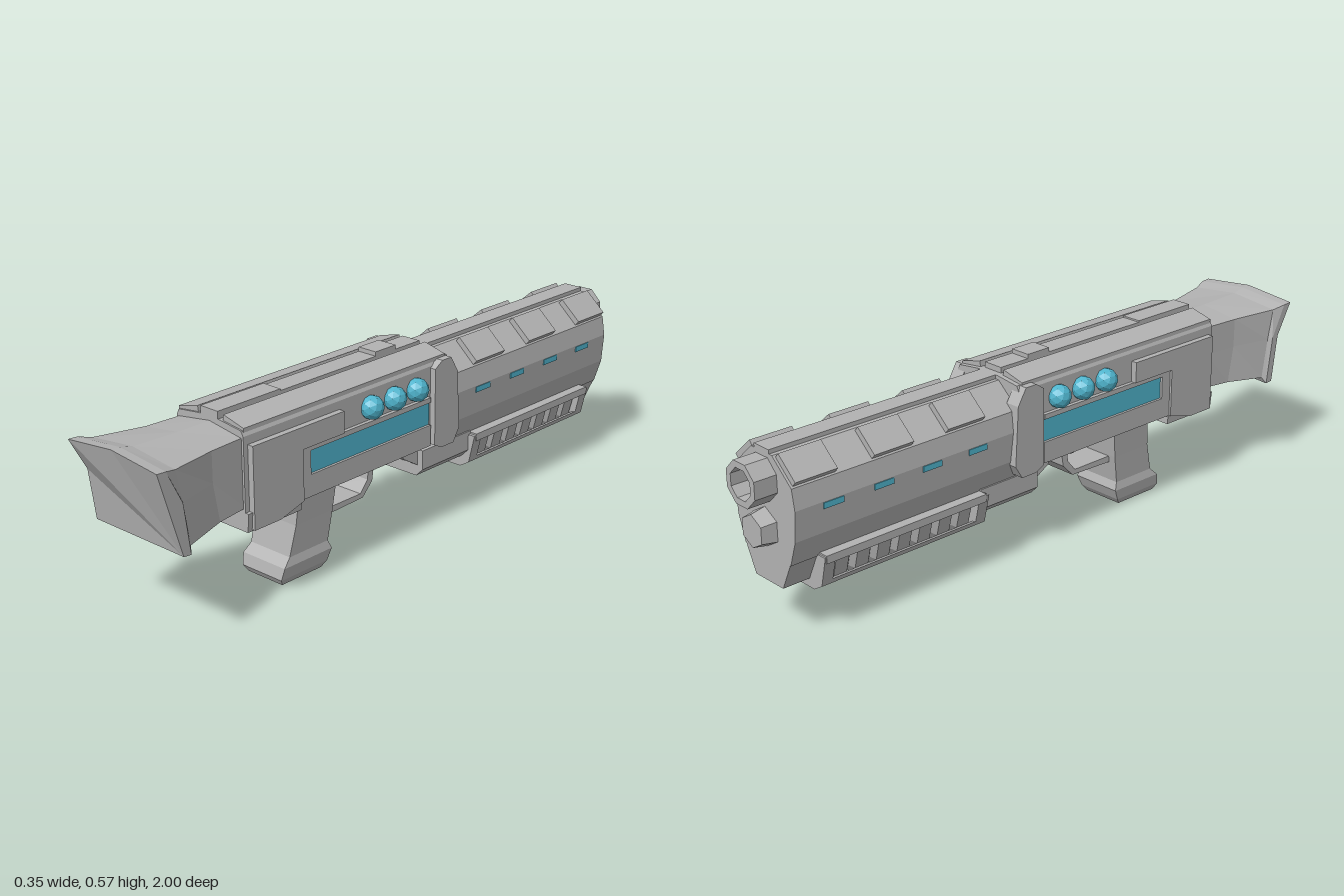
import * as THREE from 'three';

const grey = new THREE.MeshStandardMaterial({ color: 0xb2b2b2, flatShading: true });
grey.name = 'grey shell';
const teal = new THREE.MeshStandardMaterial({ color: 0x4fb4cd, flatShading: true });
teal.name = 'teal glow';

export function createModel() {
  const root = new THREE.Group();
  root.name = 'spaceBlaster';

  const add = (name, geo, mat = grey) => {
    const m = new THREE.Mesh(geo, mat);
    m.name = name;
    root.add(m);
    return m;
  };
  const shapeOf = (pts) => new THREE.Shape(pts.map(([x, y]) => new THREE.Vector2(x, y)));
  const flat = (depth) => ({ depth, bevelEnabled: false });

  // Side profile of [z, y] points, pushed from x0 to x1
  const profile = (pts, x0, x1) =>
    new THREE.ExtrudeGeometry(shapeOf(pts.map(([z, y]) => [-z, y])), flat(x1 - x0))
      .rotateY(Math.PI / 2).translate(x0, 0, 0);
  // Mirrored half section of [x, y] points (bottom to top), pushed from z0 to z1
  const mirror = (half) => [...half, ...half.slice().reverse().map(([x, y]) => [-x, y])];
  const section = (half, z0, z1) =>
    new THREE.ExtrudeGeometry(shapeOf(mirror(half)), flat(z1 - z0)).translate(0, 0, z0);
  const box = (x0, x1, y0, y1, z0, z1) =>
    new THREE.BoxGeometry(x1 - x0, y1 - y0, z1 - z0)
      .translate((x0 + x1) / 2, (y0 + y1) / 2, (z0 + z1) / 2);
  // Same profile plate on both sides
  const sidePlates = (name, pts, x0, x1, mat) => {
    add(name + 'Left', profile(pts, x0, x1), mat);
    add(name + 'Right', profile(pts, -x1, -x0), mat);
  };
  const rect = (z0, z1, y0, y1) => [[z0, y0], [z1, y0], [z1, y1], [z0, y1]];

  // Skin over rings ordered towards +z, each counterclockwise seen from +z
  const loft = (rings) => {
    const p = [];
    const tri = (...v) => v.forEach((q) => p.push(...q));
    const n = rings[0].length;
    for (let r = 0; r < rings.length - 1; r++) {
      for (let i = 0; i < n; i++) {
        const j = (i + 1) % n, A = rings[r], B = rings[r + 1];
        tri(A[i], A[j], B[j]);
        tri(A[i], B[j], B[i]);
      }
    }
    const a = rings[0], b = rings[rings.length - 1];
    for (let i = 1; i < n - 1; i++) {
      tri(a[0], a[i + 1], a[i]);
      tri(b[0], b[i], b[i + 1]);
    }
    const g = new THREE.BufferGeometry();
    g.setAttribute('position', new THREE.Float32BufferAttribute(p, 3));
    g.computeVertexNormals();
    return g;
  };

  // Flared shoulder stock with a bent, slanted butt
  const stockRing = (w, [zb, yb], [zm, ym], [zt, yt]) => [
    [w, yb, zb], [w, ym, zm], [w, yt, zt], [0, yt + 0.018, zt],
    [-w, yt, zt], [-w, ym, zm], [-w, yb, zb], [0, yb + 0.012, zb],
  ];
  const stock = [
    stockRing(0.12, [0.66, 0.31], [0.66, 0.42], [0.66, 0.51]),
    stockRing(0.128, [0.76, 0.305], [0.78, 0.42], [0.78, 0.51]),
    stockRing(0.16, [0.89, 0.295], [0.91, 0.42], [0.93, 0.515]),
    stockRing(0.172, [0.9, 0.276], [0.92, 0.425], [0.97, 0.525]),
    stockRing(0.172, [0.925, 0.278], [0.945, 0.428], [1.0, 0.527]),
  ];
  add('stock', loft(stock));

  // Receiver
  add('receiver', section([[0.115, 0.27], [0.128, 0.29], [0.128, 0.515], [0.12, 0.53], [0.04, 0.54]], -0.15, 0.67));
  add('receiverHeel', section([[0.135, 0.245], [0.14, 0.3]], 0.47, 0.67));
  for (const s of [1, -1]) {
    add('topSlab', section([[0.125, 0.525], [0.125, 0.537], [0.05, 0.556], [0.046, 0.535]]
      .map(([x, y]) => [x, y]), 0, 0.001)).visible = true;
    root.children.pop();
    const slab = [[0.046, 0.53], [0.125, 0.525], [0.125, 0.537], [0.05, 0.556]];
    add(s > 0 ? 'topSlabLeft' : 'topSlabRight',
      new THREE.ExtrudeGeometry(shapeOf(slab.map(([x, y]) => [s * x, y])), flat(0.8)).translate(0, 0, -0.135));
  }
  add('topRail', box(-0.033, 0.033, 0.53, 0.557, -0.13, 0.67));
  add('rearSight', box(-0.033, 0.033, 0.55, 0.57, -0.025, 0.06));
  add('railStop', box(-0.033, 0.033, 0.55, 0.562, 0.44, 0.67));

  // Raised side panels around the glowing strip
  sidePlates('rearPanel', [[0.655, 0.25], [0.655, 0.49], [0.31, 0.49], [0.31, 0.425], [0.47, 0.425], [0.47, 0.275], [0.56, 0.25]], 0.12, 0.147);
  sidePlates('stripFrameTop', rect(-0.06, 0.47, 0.41, 0.425), 0.12, 0.14);
  sidePlates('stripFrameBottom', rect(-0.06, 0.47, 0.275, 0.34), 0.11, 0.14);
  sidePlates('stripFrameEnd', rect(0.435, 0.47, 0.34, 0.41), 0.12, 0.14);
  sidePlates('glowStrip', rect(-0.06, 0.435, 0.34, 0.41), 0.126, 0.132, teal);

  // Front collar of the receiver
  sidePlates('collar', [[-0.07, 0.275], [-0.07, 0.51], [-0.1, 0.53], [-0.14, 0.53], [-0.17, 0.48], [-0.18, 0.3], [-0.155, 0.26], [-0.1, 0.26]], 0.1, 0.147);

  // Glowing beads
  for (const s of [1, -1]) {
    for (const z of [0, 0.095, 0.19]) {
      add('glowBead', new THREE.IcosahedronGeometry(0.036, 1).translate(s * 0.138, 0.465, z), teal);
    }
  }

  // Barrel shroud, its nose and top rib
  add('shroud', section([[0.1, 0.235], [0.125, 0.31], [0.132, 0.4], [0.122, 0.46], [0.045, 0.528]], -0.93, -0.14));
  add('shroudNose', section([[0.06, 0.155], [0.1, 0.24]], -0.93, -0.84));
  add('shroudRib', box(-0.032, 0.032, 0.51, 0.54, -0.93, -0.14));

  // Slanted pads and glowing slots along the shroud
  for (const s of [1, -1]) {
    for (const z of [-0.345, -0.6, -0.855]) {
      const pad = add('shroudPad', new THREE.BoxGeometry(0.09, 0.03, 0.135));
      pad.position.set(s * 0.086, 0.496, z);
      pad.rotation.z = -s * 0.72;
    }
    for (const z of [-0.308, -0.473, -0.64, -0.807]) {
      add('glowSlot', box(-0.004, 0.004, 0.38, 0.397, z - 0.033, z + 0.033).translate(s * 0.13, 0, 0), teal);
    }
  }

  // Hollow muzzle and the solid stub beneath it
  const muzzle = [[0.066, 0], [0.066, 0.08], [0.046, 0.08], [0.046, 0.02], [0, 0.02]];
  add('muzzle', new THREE.LatheGeometry(muzzle.map(([r, y]) => new THREE.Vector2(r, y)), 8)
    .rotateY(Math.PI / 8).rotateX(-Math.PI / 2).translate(0, 0.455, -0.92));
  add('lowerStub', new THREE.CylinderGeometry(0.048, 0.06, 0.06, 6)
    .rotateX(-Math.PI / 2).translate(0, 0.315, -0.945));

  // Pump handle: ribbed core in a frame
  add('pumpMount', section([[0.085, 0.165], [0.11, 0.19], [0.11, 0.25]], -0.28, -0.06));
  add('pumpMountRamp', profile([[0.03, 0.28], [0, 0.235], [-0.06, 0.2], [-0.15, 0.24], [-0.15, 0.28]], -0.09, 0.09));
  const pumpHalf = [[0.075, 0.14], [0.1, 0.158], [0.12, 0.235]];
  const scaled = (k, z) => mirror(pumpHalf).map(([x, y]) => [x * k, 0.235 + (y - 0.235) * k, z]);
  for (let i = 0; i < 7; i++) {
    const z = -0.81 + i * 0.072;
    add('pumpRib', loft([scaled(0.88, z), scaled(1, z + 0.014), scaled(1, z + 0.058), scaled(0.88, z + 0.072)]));
  }
  const endHalf = [[0.08, 0.13], [0.113, 0.15], [0.134, 0.24]];
  add('pumpFront', section(endHalf, -0.845, -0.81));
  add('pumpBack', section(endHalf, -0.306, -0.27));
  sidePlates('pumpTopRail', rect(-0.84, -0.28, 0.222, 0.245), 0.09, 0.134);
  const lowRail = [[0.08, 0.13], [0.113, 0.15], [0.116, 0.163], [0.1, 0.158], [0.075, 0.14]];
  for (const s of [1, -1]) {
    add('pumpLowRail', new THREE.ExtrudeGeometry(shapeOf(lowRail.map(([x, y]) => [s * x, y])), flat(0.56)).translate(0, 0, -0.84));
  }

  // Grip with flared foot, as stacked slices [y, zFront, zBack, halfWidth]
  const slices = [
    [0, 0.33, 0.485, 0.068], [0.02, 0.315, 0.497, 0.078], [0.055, 0.3, 0.488, 0.083],
    [0.08, 0.31, 0.462, 0.077], [0.17, 0.295, 0.44, 0.082], [0.29, 0.28, 0.43, 0.09],
  ];
  // Built along +z, then stood upright
  add('grip', loft(slices.map(([y, a, b, w]) => [[-w, -b, y], [w, -b, y], [w, -a, y], [-w, -a, y]]))
    .rotateX(-Math.PI / 2));

  // Trigger guard and trigger
  add('triggerGuard', profile([[0.3, 0.145], [0.14, 0.15], [0.1, 0.19], [0.085, 0.28], [0.11, 0.28], [0.12, 0.2], [0.15, 0.165], [0.3, 0.165]], -0.055, 0.055));
  add('trigger', profile([[0.2, 0.28], [0.16, 0.28], [0.175, 0.23], [0.165, 0.2], [0.18, 0.2], [0.195, 0.23]], -0.02, 0.02));

  return root;
}
